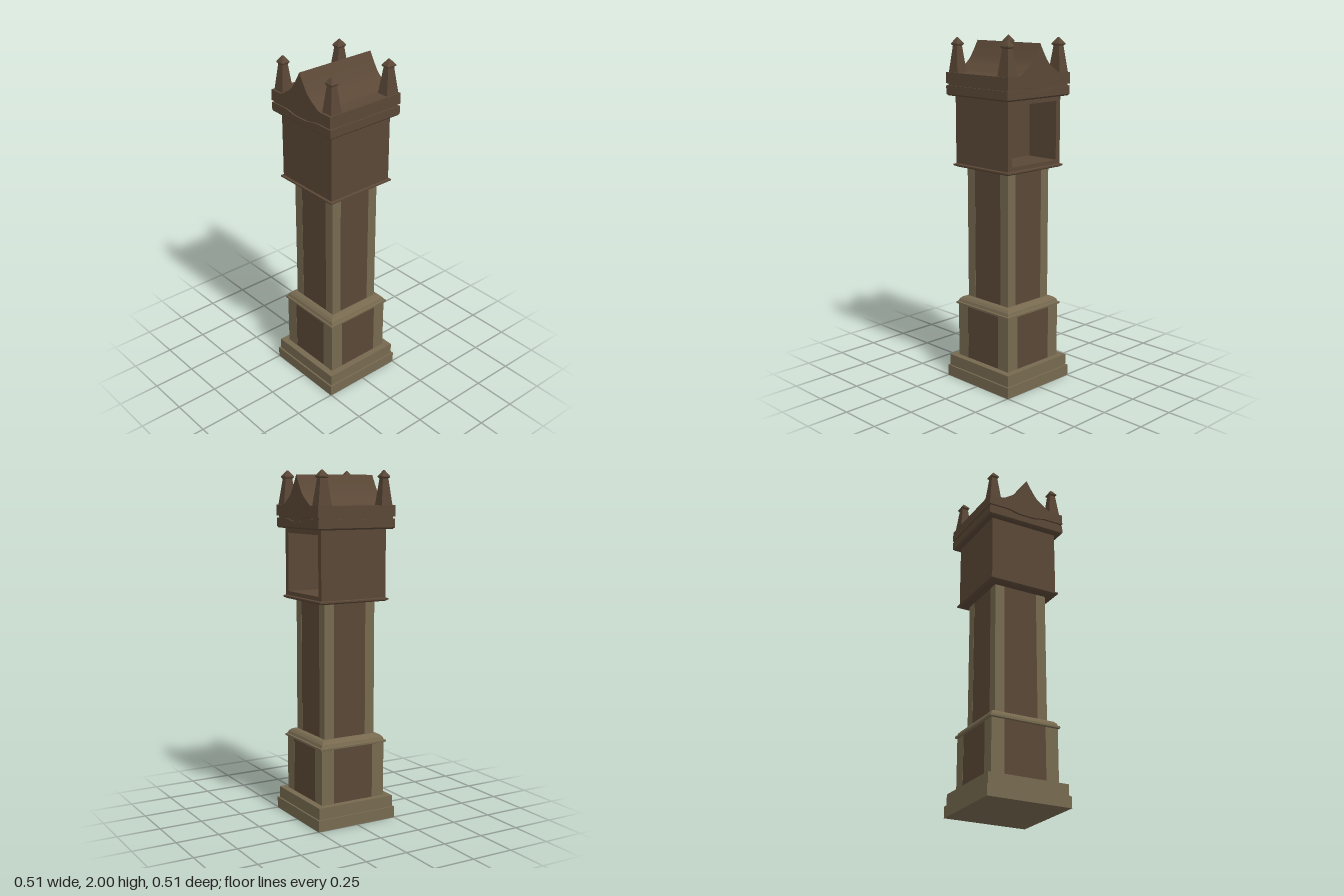
import * as THREE from 'three';
import { toCreasedNormals } from 'three/addons/utils/BufferGeometryUtils.js';

const brown = new THREE.MeshStandardMaterial({ color: 0x5a4736 });
const olive = new THREE.MeshStandardMaterial({ color: 0x76694f });

export function createModel() {
  const model = new THREE.Group();

  const add = (name, geometry, material, x = 0, y = 0, z = 0) => {
    const mesh = new THREE.Mesh(geometry, material);
    mesh.name = name;
    mesh.position.set(x, y, z);
    model.add(mesh);
    return mesh;
  };

  // square-section solid from [half width, y] pairs, bottom to top
  const square = (profile) => {
    const pts = profile.map(([h, y]) => new THREE.Vector2(h * Math.SQRT2, y));
    pts.unshift(new THREE.Vector2(0, profile[0][1]));
    pts.push(new THREE.Vector2(0, profile[profile.length - 1][1]));
    const g = new THREE.LatheGeometry(pts, 4, Math.PI / 4).toNonIndexed();
    g.computeVertexNormals();
    return g;
  };

  // front outline extruded from z0 to z1
  const slab = (shape, z0, z1) => {
    const g = new THREE.ExtrudeGeometry(shape, { depth: z1 - z0, bevelEnabled: false });
    g.translate(0, 0, z0);
    return toCreasedNormals(g, 0.4);
  };

  const rectPath = (path, x, y0, y1) => {
    path.moveTo(-x, y0);
    path.lineTo(x, y0);
    path.lineTo(x, y1);
    path.lineTo(-x, y1);
    path.closePath();
    return path;
  };

  // plinth steps
  add('plinth', square([[0.253, 0], [0.253, 0.065], [0.243, 0.065], [0.243, 0.132]]), olive);

  // a panelled case: brown core with olive corner stiles
  const panelledCase = (name, half, panel, y0, y1) => {
    const h = y1 - y0, w = half - panel, c = (half + panel) / 2;
    add(name + 'Panels', new THREE.BoxGeometry(2 * half - 0.002, h, 2 * half - 0.002), brown, 0, y0 + h / 2, 0);
    for (const sx of [-1, 1]) for (const sz of [-1, 1])
      add(name + 'Stile', new THREE.BoxGeometry(w, h, w), olive, sx * c, y0 + h / 2, sz * c);
  };
  panelledCase('lowerCase', 0.205, 0.127, 0.132, 0.45);
  panelledCase('trunk', 0.163, 0.103, 0.49, 1.28);

  // moulding between lower case and trunk
  add('waistMoulding', square([
    [0.205, 0.448], [0.215, 0.452], [0.215, 0.463], [0.207, 0.466],
    [0.201, 0.481], [0.189, 0.493], [0.176, 0.499], [0.163, 0.501],
  ]), olive);

  // hood with a recess open at the back
  add('hoodSill', square([[0.205, 1.272], [0.22, 1.28], [0.22, 1.288], [0.208, 1.292]]), brown);
  const hood = 0.208, recessEnd = 0;
  const ring = rectPath(new THREE.Shape(), hood, 1.285, 1.69);
  ring.holes.push(rectPath(new THREE.Path(), 0.175, 1.315, 1.65));
  add('hoodSides', slab(ring, -hood, recessEnd), brown);
  add('hoodFront', slab(rectPath(new THREE.Shape(), hood, 1.285, 1.69), recessEnd, hood), brown);

  // cornice: two boards parted by a groove that dips in the middle
  const half = 0.245, steps = 24;
  const grooveY = (x) => 1.74 - 0.015 * (1 - THREE.MathUtils.smoothstep(Math.abs(x), 0.04, 0.13));
  const curve = (w, offset) => Array.from({ length: steps + 1 }, (_, i) => {
    const x = -w + (2 * w * i) / steps;
    return new THREE.Vector2(x, grooveY(x) + offset);
  });
  add('corniceUnderside', square([[0.236, 1.678], [half, 1.687], [half, 1.7]]), brown);
  add('lowerCornice', slab(new THREE.Shape([
    new THREE.Vector2(half, 1.69), ...curve(half, -0.006).reverse(), new THREE.Vector2(-half, 1.69),
  ]), -half, half), brown);
  add('corniceGroove', slab(new THREE.Shape([
    ...curve(0.236, -0.012), ...curve(0.236, 0.012).reverse(),
  ]), -0.236, 0.236), brown);

  // upper cornice and gabled roof in one sweep
  const slope = new THREE.SplineCurve([
    [0, 1.977], [0.032, 1.922], [0.066, 1.873], [0.105, 1.842], [0.15, 1.812],
  ].map(([x, y]) => new THREE.Vector2(x, y))).getPoints(16);
  const rightSide = [...slope, new THREE.Vector2(0.165, 1.808), new THREE.Vector2(half, 1.808)];
  const leftSide = rightSide.slice(1).map((p) => new THREE.Vector2(-p.x, p.y));
  add('gabledRoof', slab(new THREE.Shape([
    ...curve(half, 0.006), ...rightSide.slice().reverse(), ...leftSide,
  ]), -half - 0.002, half + 0.002), brown);

  // corner finials, the back pair deeper than the front pair
  for (const sx of [-1, 1]) for (const sz of [-1, 1]) {
    const finial = add('finial', square([
      [0.035, 1.795], [0.035, 1.81], [0.018, 1.955], [0.025, 1.962], [0.025, 1.968], [0.003, 2.0],
    ]), brown, sx * 0.2, 0, sz * 0.197);
    if (sz < 0) finial.scale.z = 1.18;
  }

  return model;
}
